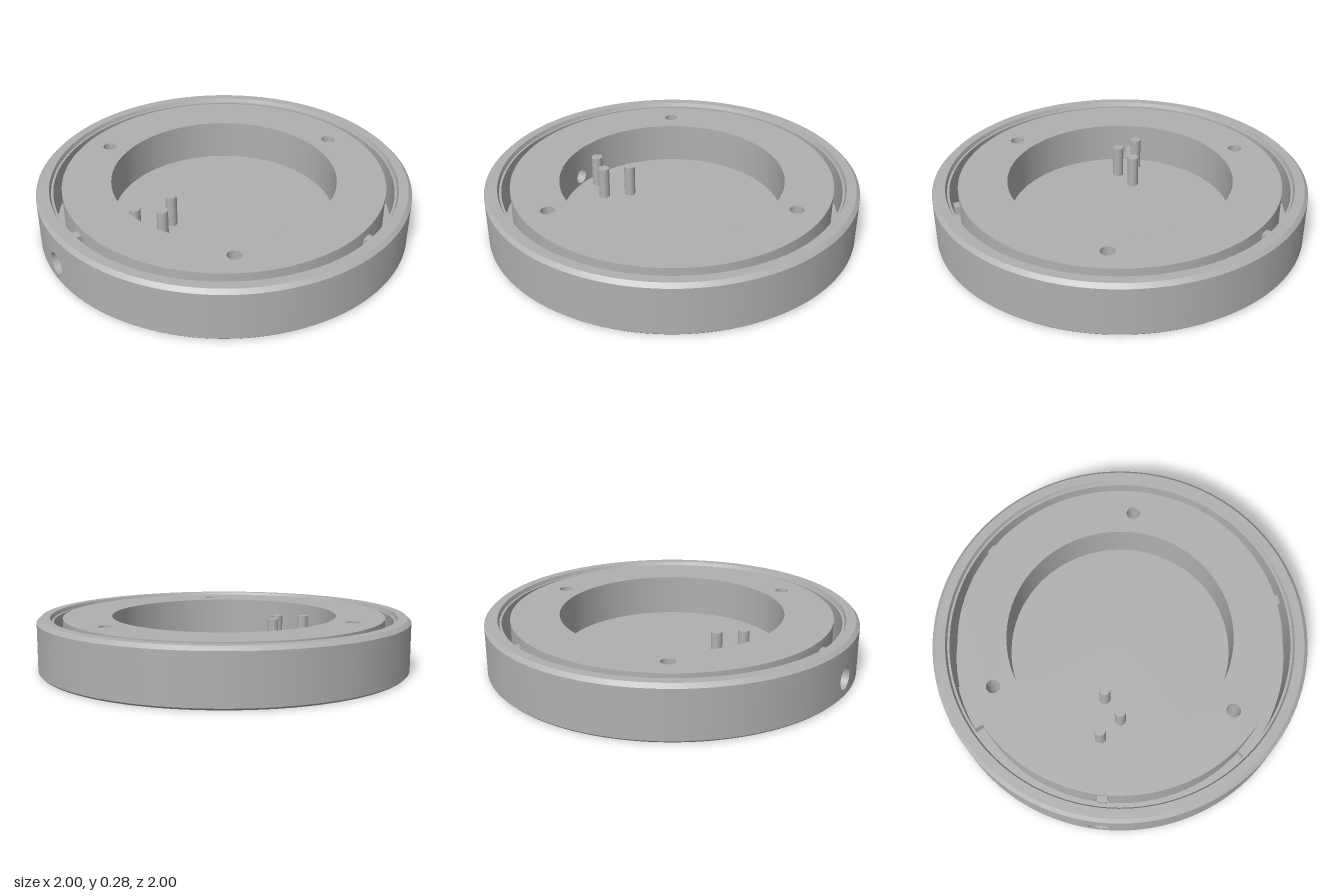
import * as THREE from 'three';
import { mergeGeometries } from 'three/addons/utils/BufferGeometryUtils.js';

const SEG = 128;
const PORT = 1.5 * Math.PI; // lathe angle of the cable port (-x side)
const PORT_Y = 0.105;
const GAP = 0.14; // half angle of the wall panel around the port

export function createModel() {
  const model = new THREE.Group();
  const grey = new THREE.MeshStandardMaterial({ color: 0xb0b0b0, side: THREE.DoubleSide });
  grey.name = 'plain grey';

  function add(name, geometry, x = 0, y = 0, z = 0) {
    const mesh = new THREE.Mesh(geometry, grey);
    mesh.name = name;
    mesh.position.set(x, y, z);
    model.add(mesh);
    return mesh;
  }

  // Sharp-edged revolve: one lathe per profile segment; a third value in a
  // point is the radius of a port hole in the wall that starts there
  function revolve(profile) {
    const parts = [];
    for (let i = 0; i < profile.length - 1; i++) {
      const [r0, y0, hole] = profile[i];
      const [r1, y1] = profile[i + 1];
      const pts = [new THREE.Vector2(r0, y0), new THREE.Vector2(r1, y1)];
      if (hole) {
        parts.push(new THREE.LatheGeometry(pts, SEG, PORT + GAP, 2 * Math.PI - 2 * GAP));
        parts.push(portPanel(r0, y0, y1, hole));
      } else parts.push(new THREE.LatheGeometry(pts, SEG));
    }
    return mergeGeometries(parts);
  }

  // Flat panel with a round hole, wrapped onto a cylinder
  function portPanel(R, y0, y1, hole) {
    const side = y1 > y0 ? 1 : -1; // rising walls face out, falling ones face in
    const lo = Math.min(y0, y1), hi = Math.max(y0, y1), w = R * GAP, n = 8;
    const edge = [];
    for (let i = 0; i <= n; i++) edge.push(new THREE.Vector2(-w + (2 * w * i) / n, lo));
    for (let i = n; i >= 0; i--) edge.push(new THREE.Vector2(-w + (2 * w * i) / n, hi));
    const shape = new THREE.Shape(edge);
    shape.holes.push(new THREE.Path().absarc(0, PORT_Y, hole, 0, 2 * Math.PI, true));
    const g = new THREE.ShapeGeometry(shape, 16);
    const p = g.attributes.position, nor = g.attributes.normal;
    for (let i = 0; i < p.count; i++) {
      const a = PORT + (side * p.getX(i)) / R;
      p.setXYZ(i, R * Math.sin(a), p.getY(i), R * Math.cos(a));
      nor.setXYZ(i, side * Math.sin(a), 0, side * Math.cos(a));
    }
    return g;
  }

  // Flat disc with screw holes and an optional centre opening
  const screws = [0, 1, 2].map((i) => {
    const a = (i * 2 * Math.PI) / 3;
    return [0.725 * Math.cos(a), 0.725 * Math.sin(a)];
  });
  function plate(radius, screwRadius, opening, up) {
    const shape = new THREE.Shape().absarc(0, 0, radius, 0, 2 * Math.PI, false);
    for (const [x, z] of screws)
      shape.holes.push(new THREE.Path().absarc(x, z, screwRadius, 0, 2 * Math.PI, true));
    if (opening) shape.holes.push(new THREE.Path().absarc(0, 0, opening, 0, 2 * Math.PI, true));
    return new THREE.ShapeGeometry(shape, SEG / 2).rotateX(up ? -Math.PI / 2 : Math.PI / 2);
  }

  function tube(r0, r1, length) {
    return new THREE.CylinderGeometry(r0, r1, length, 32, 1, true);
  }

  // Bottom groove, outer wall, rim, channel and inner hub wall
  add('housing', revolve([
    [0.886, 0], [0.886, 0.04], [0.95, 0.04], [0.95, 0], [0.99, 0], [1, 0.01],
    [1, 0.265, 0]].slice(0, 6).map((p, i) => (i === 5 ? [1, 0.01, 0.06] : p)).concat([
    [1, 0.265], [0.98, 0.285], [0.93, 0.285], [0.922, 0.265], [0.91, 0.265, 0.045],
    [0.91, 0.055], [0.865, 0.055, 0.042], [0.865, 0.28]])));
  add('pocket', revolve([[0.605, 0.28, 0.042], [0.605, 0.055], [0, 0.055]]));
  add('hubTop', plate(0.865, 0.037, 0.605, true), 0, 0.28, 0);
  add('bottomPlate', plate(0.886, 0.065, 0, false));

  // Counterbored screw holes
  for (const [x, z] of screws) {
    add('screwHole', tube(0.037, 0.037, 0.245), x, 0.1575, z);
    add('counterbore', tube(0.065, 0.065, 0.035), x, 0.0175, z);
    add('counterboreSeat', new THREE.RingGeometry(0.037, 0.065, 32).rotateX(Math.PI / 2), x, 0.035, z);
  }

  // Cable port through the outer wall and the hub
  const along = (g) => g.rotateZ(Math.PI / 2);
  add('portCounterbore', along(tube(0.06, 0.06, 0.04)), -0.979, PORT_Y, 0);
  add('portSeat', new THREE.RingGeometry(0.045, 0.06, 32).rotateY(-Math.PI / 2), -0.96, PORT_Y, 0);
  add('portOuter', along(tube(0.045, 0.045, 0.052)), -0.934, PORT_Y, 0);
  add('portInner', along(tube(0.042, 0.042, 0.262)), -0.735, PORT_Y, 0);

  // Standing pins in the pocket
  for (const [x, z] of [[-0.525, -0.05], [-0.305, -0.05], [-0.415, 0.045]])
    add('pin', new THREE.CylinderGeometry(0.03, 0.03, 0.177, 24), x, 0.1425, z);

  // Curved tabs bridging the channel
  for (let i = 0; i < 3; i++) {
    const a = (i * 2 * Math.PI) / 3, h = 0.14;
    const shape = new THREE.Shape();
    shape.absarc(0, 0, 0.909, a - h, a + h, false);
    shape.absarc(0, 0, 0.862, a + h, a - h, true);
    const g = new THREE.ExtrudeGeometry(shape, { depth: 0.065, bevelEnabled: false, curveSegments: 10 });
    add('channelTab', g.rotateX(-Math.PI / 2), 0, 0.055, 0);
  }

  // Locking nubs on the hub wall, unevenly spaced
  for (const degrees of [180, 60, -70]) {
    const a = THREE.MathUtils.degToRad(degrees);
    const nub = add('lockingNub', new THREE.BoxGeometry(0.035, 0.045, 0.05),
      0.876 * Math.cos(a), 0.212, -0.876 * Math.sin(a));
    nub.rotation.y = a;
  }
  return model;
}
